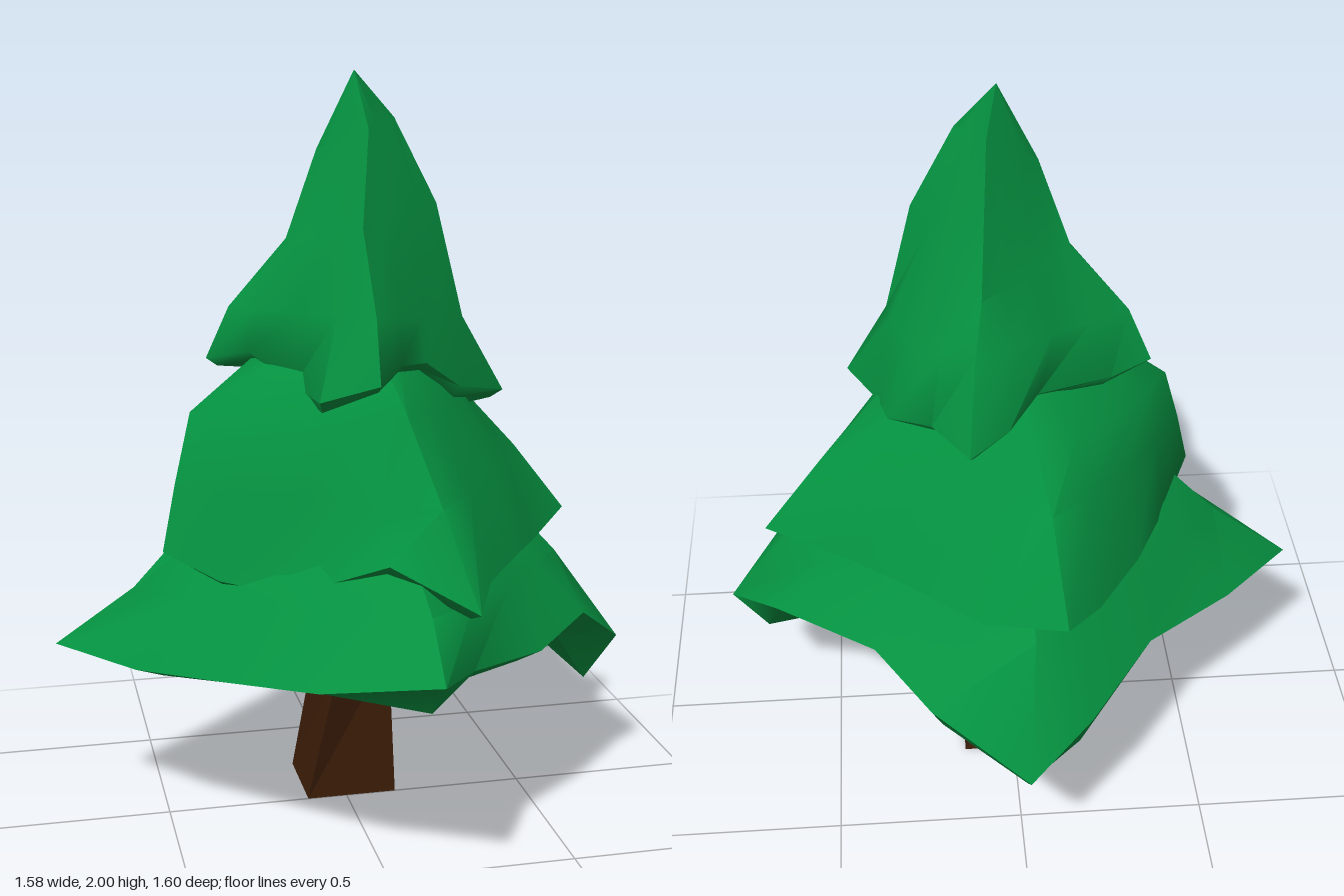
import * as THREE from 'three';
import { toCreasedNormals } from 'three/addons/utils/BufferGeometryUtils.js';

const green = new THREE.MeshStandardMaterial({ color: 0x059140 });
green.name = 'needle green';
const brown = new THREE.MeshStandardMaterial({ color: 0x3c1d08 });
brown.name = 'bark brown';

// Skin a stack of equal-length rings, bottom to top; each ring runs front, right, back, left.
function loft(rings, crease) {
  const n = rings[0].length;
  const pos = [];
  const same = (a, b) => a[0] === b[0] && a[1] === b[1] && a[2] === b[2];
  const tri = (a, b, c) => {
    if (!same(a, b) && !same(b, c) && !same(a, c)) pos.push(...a, ...b, ...c);
  };
  for (let k = 0; k < rings.length - 1; k++) {
    for (let i = 0; i < n; i++) {
      const j = (i + 1) % n;
      const [a, b, c, d] = [rings[k][i], rings[k][j], rings[k + 1][j], rings[k + 1][i]];
      tri(a, b, c);
      tri(a, c, d);
    }
  }
  const geo = new THREE.BufferGeometry();
  geo.setAttribute('position', new THREE.Float32BufferAttribute(pos, 3));
  return toCreasedNormals(geo, crease);
}

const point = (p, n = 16) => Array.from({ length: n }, () => p);

// Sixteen-point ring from four corners; bow swells each of the four sides.
function squareRing(corners, bow) {
  const ring = [];
  corners.forEach((a, c) => {
    const b = corners[(c + 1) % 4];
    for (let s = 0; s < 4; s++) {
      const t = s / 4;
      const f = 1 + (bow[c] - 1) * Math.sin(Math.PI * t);
      ring.push([
        (a[0] + (b[0] - a[0]) * t) * f,
        a[1] + (b[1] - a[1]) * t,
        (a[2] + (b[2] - a[2]) * t) * f,
      ]);
    }
  });
  return ring;
}

// One drooping layer: hollow underside, thick lip, ragged hem, then rings up to the tip.
function tier(name, { hem, drop, lip, hollow, upper, bows, tip }) {
  const lipRing = hem.map(([x, y, z], i) => [x * lip, y - drop[i % drop.length], z * lip]);
  const inner = hem.map(([x, y, z]) => [x * 0.6, hollow, z * 0.6]);
  const rings = [
    point([0, hollow + 0.04, 0]), inner, lipRing, hem,
    ...upper.map((corners, i) => squareRing(corners, bows[i])), point(tip),
  ];
  const mesh = new THREE.Mesh(loft(rings, 0.95), green);
  mesh.name = name;
  return mesh;
}

// Four-sided beam through a stack of rings, with both ends capped.
function beam(name, rings) {
  const mid = (r) => [0, 1, 2].map((k) => r.reduce((s, p) => s + p[k], 0) / 4);
  const ends = [rings[0], rings[rings.length - 1]].map((r) => point(mid(r), 4));
  const mesh = new THREE.Mesh(loft([ends[0], ...rings, ends[1]], 0.3), brown);
  mesh.name = name;
  return mesh;
}

export function createModel() {
  const tree = new THREE.Group();
  tree.name = 'pineTree';

  // Slightly twisted trunk and the branch stub at its front
  tree.add(beam('trunk', [
    [[-0.11, 0, 0], [0.14, 0, 0], [0.14, 0, -0.24], [-0.11, 0, -0.24]],
    [[-0.03, 0.42, 0.05], [0.12, 0.42, 0], [0.1, 0.42, -0.16], [-0.07, 0.42, -0.1]],
    [[-0.03, 0.7, 0.05], [0.11, 0.7, 0], [0.09, 0.7, -0.12], [-0.06, 0.7, -0.08]],
  ]));
  tree.add(beam('branchStub', [
    [[-0.03, 0.41, 0], [0.12, 0.41, 0], [0.12, 0.53, 0], [-0.03, 0.53, 0]],
    [[-0.01, 0.48, 0.25], [0.1, 0.48, 0.25], [0.1, 0.57, 0.25], [-0.01, 0.57, 0.25]],
  ]));

  // Foliage layers
  tree.add(tier('lowerFoliage', {
    hem: [
      [0.06, 0.63, 0.8], [0.2, 0.57, 0.56], [0.44, 0.53, 0.36], [0.62, 0.56, 0.18],
      [0.785, 0.42, 0.01], [0.64, 0.58, -0.24], [0.38, 0.57, -0.41], [0.24, 0.54, -0.62],
      [0, 0.45, -0.8], [-0.17, 0.5, -0.64], [-0.35, 0.55, -0.41], [-0.6, 0.5, -0.19],
      [-0.79, 0.51, -0.02], [-0.6, 0.5, 0.19], [-0.4, 0.53, 0.4], [-0.2, 0.56, 0.6],
    ],
    drop: [0.1, 0.05, 0.04, 0.06, 0.12, 0.06, 0.05, 0.12, 0.1, 0.15, 0.06, 0.04, 0.02, 0.03, 0.02, 0.03],
    lip: 0.88,
    hollow: 0.61,
    upper: [
      [[0.08, 0.73, 0.6], [0.6, 0.68, -0.02], [-0.03, 0.7, -0.56], [-0.58, 0.66, 0]],
      [[0.05, 0.95, 0.33], [0.38, 0.92, -0.03], [-0.03, 0.95, -0.33], [-0.34, 0.92, 0]],
    ],
    bows: [[1.08, 1.08, 1.08, 1.14], [1.08, 1.08, 1.08, 1.08]],
    tip: [0, 1.05, 0],
  }));

  tree.add(tier('middleFoliage', {
    hem: [
      [0.2, 0.73, 0.61], [0.28, 0.75, 0.42], [0.4, 0.77, 0.27], [0.5, 0.74, 0.08],
      [0.66, 0.77, -0.13], [0.46, 0.77, -0.26], [0.3, 0.77, -0.38], [0.1, 0.74, -0.52],
      [-0.1, 0.84, -0.67], [-0.2, 0.76, -0.5], [-0.32, 0.76, -0.32], [-0.42, 0.74, -0.1],
      [-0.51, 0.78, 0.09], [-0.38, 0.73, 0.21], [-0.22, 0.72, 0.33], [0, 0.83, 0.49],
    ],
    drop: [0.02, 0.03, 0.03, 0.03],
    lip: 0.93,
    hollow: 0.8,
    upper: [
      [[0.15, 0.95, 0.43], [0.5, 0.97, -0.1], [-0.08, 1.0, -0.43], [-0.47, 0.95, 0.05]],
      [[0.08, 1.17, 0.34], [0.34, 1.14, -0.05], [-0.05, 1.13, -0.33], [-0.42, 1.13, 0]],
      [[0.04, 1.3, 0.22], [0.22, 1.3, 0], [0.02, 1.3, -0.2], [-0.24, 1.27, -0.03]],
    ],
    bows: [[1.08, 1.12, 1.08, 1.15], [1.12, 1.15, 1.12, 1.2], [1.1, 1.1, 1.1, 1.1]],
    tip: [0, 1.42, 0],
  }));

  tree.add(tier('topFoliage', {
    hem: [
      [0.01, 1.25, 0.35], [0.09, 1.28, 0.25], [0.17, 1.27, 0.18], [0.28, 1.19, 0.11],
      [0.42, 1.16, 0.04], [0.34, 1.12, -0.06], [0.32, 1.15, -0.18], [0.21, 1.19, -0.28],
      [0.12, 1.16, -0.385], [0.02, 1.2, -0.33], [-0.06, 1.24, -0.23], [-0.25, 1.24, -0.17],
      [-0.36, 1.25, -0.11], [-0.26, 1.28, -0.02], [-0.16, 1.21, 0.1], [-0.13, 1.2, 0.28],
    ],
    drop: [0.02, 0.02, 0.02, 0.03],
    lip: 0.92,
    hollow: 1.25,
    upper: [
      [[0.01, 1.41, 0.3], [0.31, 1.36, 0.02], [0.1, 1.4, -0.3], [-0.3, 1.39, -0.09]],
      [[0, 1.62, 0.19], [0.24, 1.66, 0], [0.08, 1.52, -0.24], [-0.15, 1.57, -0.06]],
      [[0.03, 1.86, 0.12], [0.13, 1.88, -0.02], [0.06, 1.9, -0.14], [-0.07, 1.8, -0.05]],
    ],
    bows: [[1, 1.28, 1, 1.12], [1.05, 1, 1.05, 1.1], [1.05, 1, 1.05, 1.05]],
    tip: [0.03, 2, -0.05],
  }));

  return tree;
}
